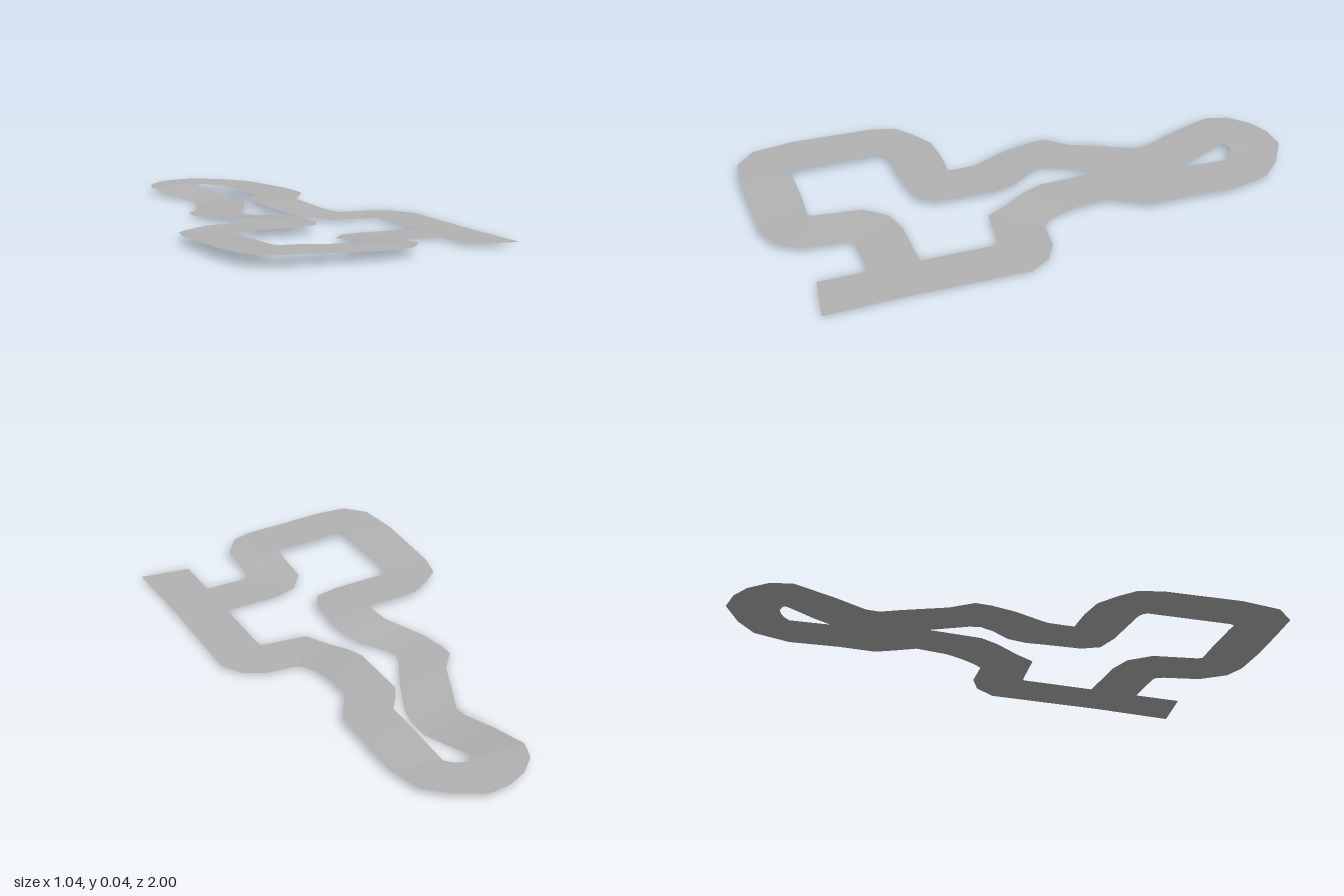
import * as THREE from 'three';

const asphalt = new THREE.MeshStandardMaterial({ color: 0xb2b2b2, side: THREE.DoubleSide });
asphalt.name = 'asphalt grey';

// Ribbon of road; each section is [right x, right z, left x, left z, height]
function road(name, sections) {
  const pos = [], index = [];
  sections.forEach(([rx, rz, lx, lz, y], i) => {
    pos.push(rx, y, rz, lx, y, lz);
    if (i > 0) {
      const a = 2 * i - 2;
      index.push(a, a + 2, a + 1, a + 1, a + 2, a + 3);
    }
  });
  const g = new THREE.BufferGeometry();
  g.setAttribute('position', new THREE.Float32BufferAttribute(pos, 3));
  g.setIndex(index);
  g.computeVertexNormals();
  const mesh = new THREE.Mesh(g, asphalt);
  mesh.name = name;
  return mesh;
}

export function createModel() {
  const group = new THREE.Group();
  group.name = 'raceTrack';

  // Start straight with its open end, then the first corner
  const start = [
    [0.52, 0.90, 0.33, 0.87, 0.012],
    [0.51, 0.59, 0.33, 0.59, 0.012],
    [0.515, 0.15, 0.33, 0.22, 0.012],
    [0.465, 0.07, 0.325, 0.213, 0.012],
    [0.39, 0.03, 0.31, 0.21, 0.012],
    [0.27, 0.02, 0.15, 0.19, 0.012],
  ];
  // Climbing right lane
  const climb = [
    start.at(-1),
    [0.25, -0.01, 0.11, 0.11, 0.014],
    [0.23, -0.07, 0.06, 0.02, 0.02],
    [0.22, -0.13, 0.04, -0.05, 0.026],
    [0.215, -0.25, 0.04, -0.30, 0.03],
    [0.26, -0.32, 0.07, -0.355, 0.032],
    [0.30, -0.39, 0.115, -0.42, 0.034],
    [0.30, -0.53, 0.115, -0.53, 0.034],
    [0.30, -0.72, 0.115, -0.76, 0.026],
  ];
  // Hairpin at the back
  const hairpin = [
    climb.at(-1),
    [0.265, -0.86, 0.095, -0.785, 0.027],
    [0.19, -0.935, 0.075, -0.80, 0.029],
    [0.08, -1.0, 0.05, -0.81, 0.031],
    [-0.01, -0.99, 0.03, -0.805, 0.032],
    [-0.085, -0.955, 0.02, -0.80, 0.032],
    [-0.15, -0.89, 0.018, -0.79, 0.031],
    [-0.178, -0.81, 0.018, -0.78, 0.028],
  ];
  // Winding left lane, dipping and then rising again
  const chicane = [
    hairpin.at(-1),
    [-0.15, -0.66, 0.045, -0.68, 0.012],
    [-0.107, -0.53, 0.08, -0.57, 0.003],
    [-0.105, -0.48, 0.08, -0.48, 0.003],
    [-0.14, -0.40, 0.065, -0.41, 0.006],
    [-0.20, -0.25, -0.005, -0.25, 0.011],
    [-0.263, -0.17, -0.07, -0.13, 0.012],
    [-0.263, -0.11, -0.08, -0.09, 0.011],
    [-0.24, -0.01, -0.06, -0.04, 0.012],
    [-0.20, 0.07, 0.0, 0.04, 0.018],
    [-0.16, 0.14, 0.03, 0.12, 0.027],
    [-0.15, 0.20, 0.033, 0.20, 0.032],
    [-0.15, 0.25, 0.025, 0.34, 0.033],
  ];
  // Left loop around the infield
  const loop = [
    chicane.at(-1),
    [-0.165, 0.247, -0.01, 0.405, 0.033],
    [-0.26, 0.245, -0.10, 0.425, 0.032],
    [-0.36, 0.255, -0.31, 0.435, 0.031],
    [-0.44, 0.305, -0.33, 0.445, 0.031],
    [-0.50, 0.355, -0.342, 0.46, 0.031],
    [-0.523, 0.45, -0.34, 0.485, 0.032],
    [-0.523, 0.75, -0.334, 0.78, 0.041],
    [-0.50, 0.91, -0.33, 0.80, 0.043],
    [-0.43, 0.985, -0.32, 0.81, 0.043],
    [-0.31, 0.995, -0.29, 0.808, 0.043],
    [-0.15, 0.998, -0.15, 0.805, 0.035],
    [0.0, 0.995, -0.045, 0.81, 0.033],
  ];
  // Return road meeting the start straight
  const link = [
    loop.at(-1),
    [0.08, 0.97, -0.036, 0.805, 0.034],
    [0.145, 0.88, -0.033, 0.79, 0.032],
    [0.147, 0.73, -0.03, 0.61, 0.018],
    [0.15, 0.70, 0.03, 0.53, 0.014],
    [0.165, 0.69, 0.12, 0.503, 0.012],
    [0.33, 0.69, 0.33, 0.50, 0.012],
  ];

  group.add(
    road('startStraight', start), road('rightLane', climb), road('hairpin', hairpin),
    road('leftLane', chicane), road('infieldLoop', loop), road('returnRoad', link),
  );
  return group;
}
